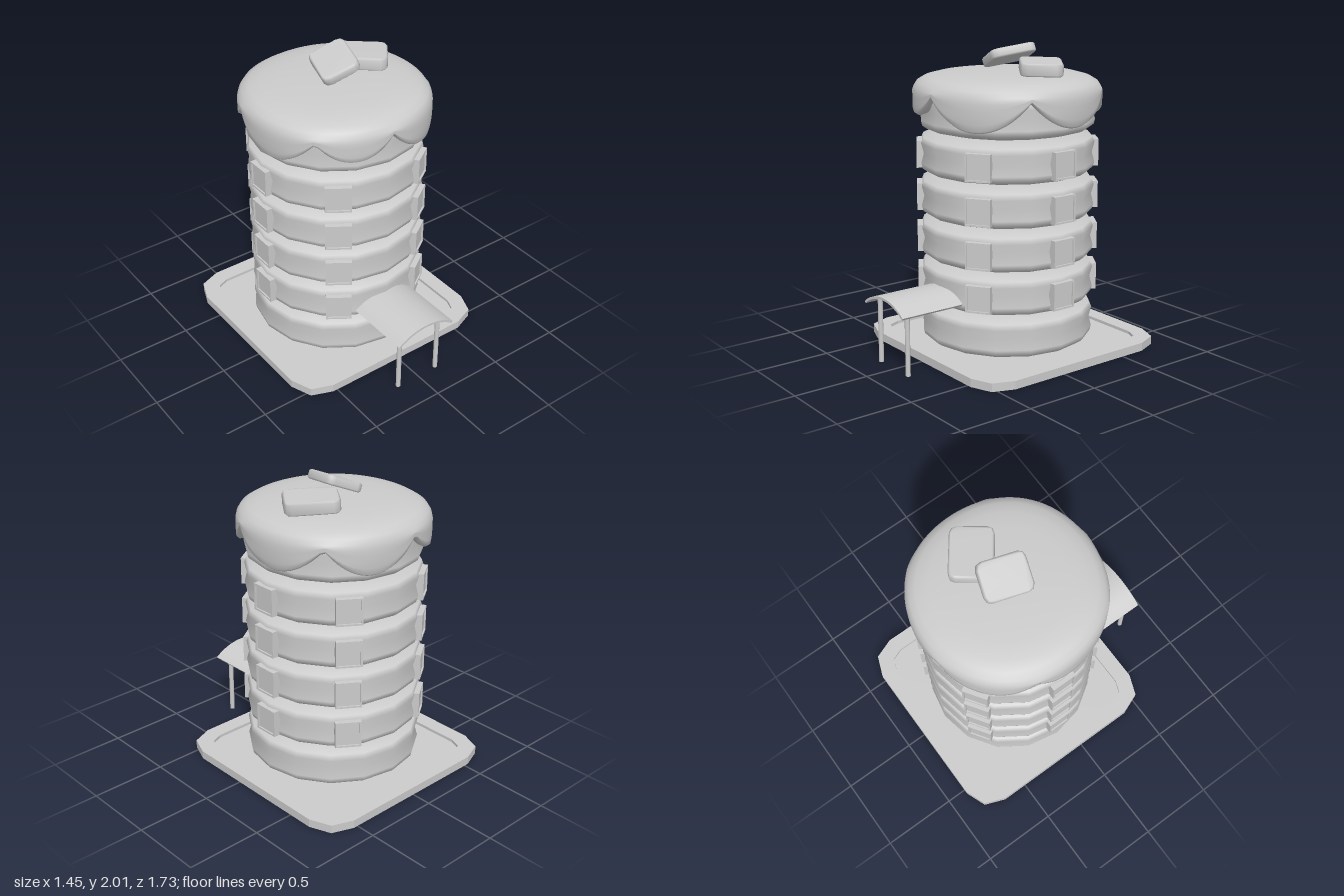
import * as THREE from 'three';
import { mergeVertices } from 'three/addons/utils/BufferGeometryUtils.js';

const material = new THREE.MeshStandardMaterial({ color: 0xcccccc });
const thinMaterial = new THREE.MeshStandardMaterial({ color: 0xcccccc, side: THREE.DoubleSide });
const CX = -0.005, CZ = -0.11; // tower axis

function add(parent, name, geometry, x = 0, y = 0, z = 0, mat = material) {
  const mesh = new THREE.Mesh(geometry, mat);
  mesh.name = name;
  mesh.position.set(x, y, z);
  parent.add(mesh);
  return mesh;
}

// Rectangle whose corners are cut by two facets each
function facetedRect(hw, hh, c) {
  const k = c * 0.28;
  const corner = [[hw, hh - c], [hw - k, hh - k], [hw - c, hh]];
  const pts = [];
  for (const [sx, sy] of [[1, 1], [-1, 1], [-1, -1], [1, -1]]) {
    const row = corner.map(([x, y]) => new THREE.Vector2(x * sx, y * sy));
    pts.push(...(sx * sy > 0 ? row : row.reverse()));
  }
  return pts;
}

const extrude = (shape, depth, extra = {}) =>
  new THREE.ExtrudeGeometry(shape, { depth, bevelEnabled: false, curveSegments: 12, ...extra });

// Pat with softened shading
function patGeometry(w, d, h) {
  const g = extrude(new THREE.Shape(facetedRect(w / 2, d / 2, 0.045)), h - 0.02, {
    bevelEnabled: true, bevelThickness: 0.01, bevelSize: 0.01, bevelOffset: -0.01, bevelSegments: 1,
  });
  g.rotateX(-Math.PI / 2).translate(0, 0.01 - h / 2, 0);
  g.deleteAttribute('normal');
  g.deleteAttribute('uv');
  const smooth = mergeVertices(g, 1e-4);
  smooth.computeVertexNormals();
  return smooth;
}

// Syrup cap: rings around the axis, with a scalloped lower rim of six drips
function syrupGeometry() {
  const cusps = [0, 66, 131, 190, 251, 313, 360];
  const lows = [1.51, 1.52, 1.52, 1.54, 1.52, 1.56];
  const top = [[0, 1.832], [0.2, 1.829], [0.36, 1.82], [0.46, 1.807], [0.53, 1.788], [0.572, 1.762], [0.592, 1.73]];
  const N = 120, rows = top.length + 7;
  const rim = (deg) => {
    const i = Math.min(5, cusps.findIndex((c) => deg < c) - 1);
    const t = (deg - cusps[i]) / (cusps[i + 1] - cusps[i]);
    return lows[i] + (1.69 - lows[i]) * Math.abs(2 * t - 1) ** 2.1;
  };
  const position = [], index = [];
  for (let j = 0; j < N; j++) {
    const a = (j / N) * Math.PI * 2, low = rim((j / N) * 360);
    const square = 1 + 0.022 * Math.sin(2 * a) ** 2;
    const section = [...top];
    for (let k = 1; k <= 5; k++) {
      const y = 1.73 + (low + 0.012 - 1.73) * (k / 5);
      section.push([y > 1.6 ? 0.6 : 0.6 - (1.6 - y) * 0.12, y]);
    }
    section.push([0.578, low], [0.535, low + 0.01]);
    for (const [r, y] of section) position.push(Math.sin(a) * r * square, y, Math.cos(a) * r * square);
  }
  for (let j = 0; j < N; j++) {
    for (let k = 0; k < rows - 1; k++) {
      const a = j * rows + k, b = ((j + 1) % N) * rows + k;
      if (k > 0) index.push(a, a + 1, b);
      index.push(b, a + 1, b + 1);
    }
  }
  const g = new THREE.BufferGeometry();
  g.setAttribute('position', new THREE.Float32BufferAttribute(position, 3));
  g.setIndex(index);
  const merged = mergeVertices(g, 1e-5);
  merged.computeVertexNormals();
  return merged;
}

export function createModel() {
  const model = new THREE.Group();
  model.name = 'pancakeTower';

  // Plate with a shallow recess
  const plate = new THREE.Group();
  plate.name = 'plate';
  plate.position.z = -0.14;
  model.add(plate);
  const outline = facetedRect(0.725, 0.727, 0.195);
  const rim = new THREE.Shape(outline);
  rim.holes.push(new THREE.Path(facetedRect(0.618, 0.618, 0.11)));
  add(plate, 'plateRim', extrude(rim, 0.02).rotateX(-Math.PI / 2), 0, 0.035);
  add(plate, 'plateFloor', extrude(new THREE.Shape(outline), 0.035).rotateX(-Math.PI / 2));

  // Six stacked pancake storeys
  const tower = new THREE.Group();
  tower.name = 'tower';
  tower.position.set(CX, 0, CZ);
  model.add(tower);
  const profile = [[0, 0], [0.44, 0], [0.535, 0.022], [0.562, 0.042], [0.57, 0.075], [0.553, 0.14],
    [0.57, 0.205], [0.555, 0.242], [0.44, 0.28], [0, 0.28]].map(([r, y]) => new THREE.Vector2(r, y));
  for (let k = 0; k < 6; k++) {
    add(tower, 'pancakeStorey', new THREE.LatheGeometry(profile, 16), 0, 0.048 + 0.28 * k, 0);
  }

  // Six framed windows on each of the four middle storeys
  const frame = new THREE.Shape(
    [[-1, -1], [1, -1], [1, 1], [-1, 1]].map(([x, y]) => new THREE.Vector2(x * 0.083, y * 0.088)));
  frame.holes.push(new THREE.Path(
    [[-1, -1], [-1, 1], [1, 1], [1, -1]].map(([x, y]) => new THREE.Vector2(x * 0.071, y * 0.076))));
  const frameGeometry = extrude(frame, 0.07);
  const paneGeometry = new THREE.BoxGeometry(0.145, 0.155, 0.06);
  for (let k = 0; k < 4; k++) {
    for (const deg of [34, 90, 146, 214, 270, 326]) {
      const windowGroup = new THREE.Group();
      windowGroup.name = 'window';
      windowGroup.position.y = 0.457 + 0.28 * k;
      windowGroup.rotation.y = THREE.MathUtils.degToRad(deg);
      add(windowGroup, 'windowFrame', frameGeometry, 0, 0, 0.52);
      add(windowGroup, 'windowPane', paneGeometry, 0, 0, 0.55);
      tower.add(windowGroup);
    }
  }

  // Syrup and two butter pats
  add(tower, 'syrup', syrupGeometry(), 0, 0, 0, thinMaterial);
  const lowerPat = add(model, 'lowerButterPat', patGeometry(0.34, 0.27, 0.08), 0.25, 1.867, -0.18);
  lowerPat.rotation.set(0, -0.64, -0.04, 'ZYX');
  const upperPat = add(model, 'upperButterPat', patGeometry(0.25, 0.31, 0.06), 0, 1.925, -0.12);
  upperPat.rotation.set(0.03, -0.28, 0.4, 'ZYX');

  // Entrance canopy: an arched roof on two posts
  const canopy = new THREE.Group();
  canopy.name = 'canopy';
  canopy.position.x = -0.005;
  model.add(canopy);
  const R = 0.36, half = 0.657;
  const arch = new THREE.Shape();
  arch.absarc(0, 0, R, Math.PI / 2 - half, Math.PI / 2 + half, false);
  arch.absarc(0, 0, R - 0.016, Math.PI / 2 + half, Math.PI / 2 - half, true);
  add(canopy, 'canopyRoof', extrude(arch, 0.46), 0, 0.483 - R, 0.405);
  for (const side of [-1, 1]) {
    add(canopy, 'canopyPost', new THREE.CylinderGeometry(0.016, 0.016, 0.435, 12), side * 0.155, 0.2175, 0.79);
  }
  return model;
}
